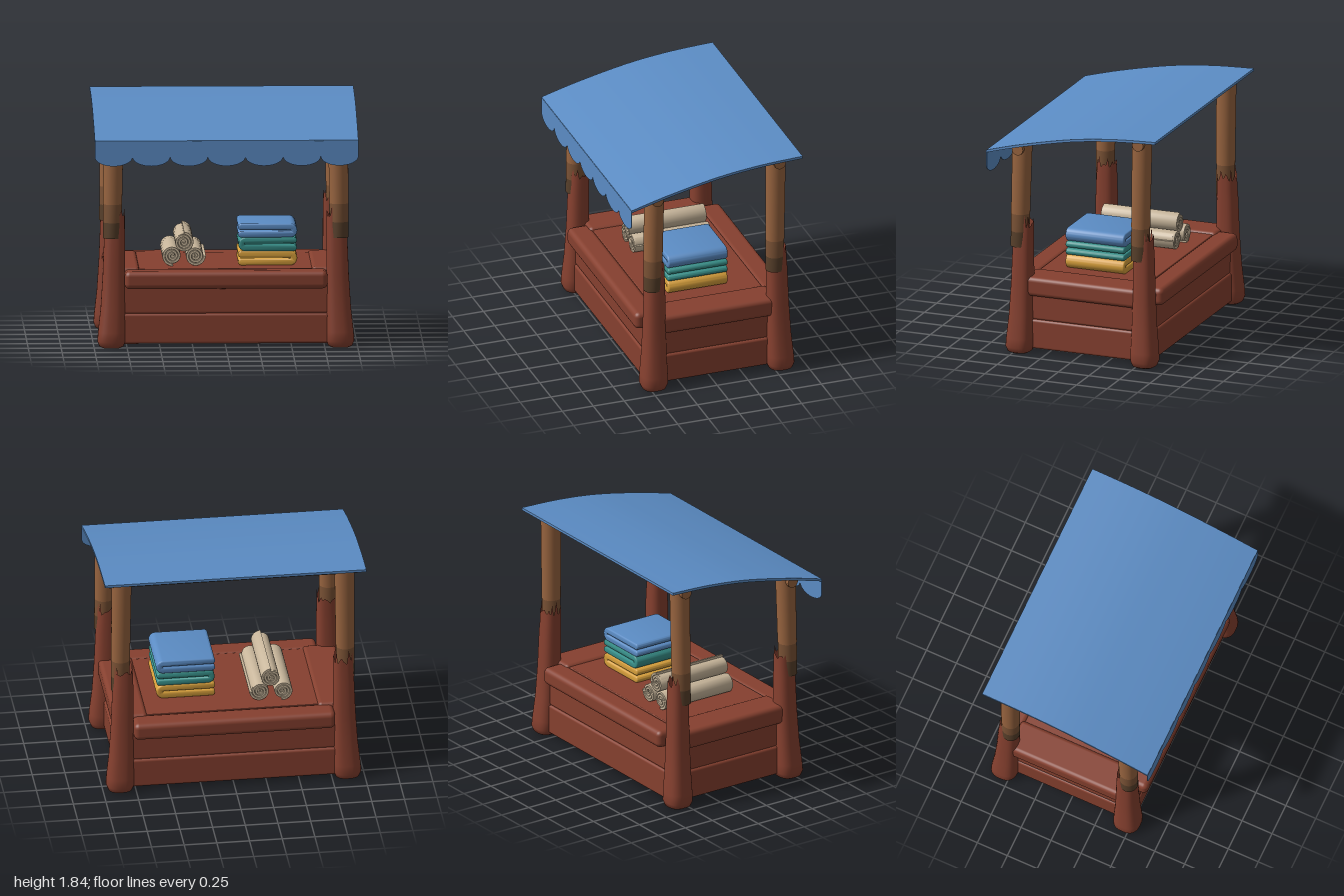
import * as THREE from 'three';
import { toCreasedNormals } from 'three/addons/utils/BufferGeometryUtils.js';
import { RoundedBoxGeometry } from 'three/addons/geometries/RoundedBoxGeometry.js';

const material = (name, color, side = THREE.FrontSide) => {
  const m = new THREE.MeshStandardMaterial({ color, side });
  m.name = name;
  return m;
};

const hash = (n) => {
  const s = Math.sin(n * 12.9898) * 43758.5453;
  return s - Math.floor(s);
};

// Skin over rounded-square rings; each row is [y, centreX, halfX, centreZ, halfZ].
// jag(j) raises the last ring point by point.
function loft(rows, power, jag = null, sides = 32) {
  const pos = [], idx = [], m = sides + 1;
  rows.forEach(([y, cx, hx, cz, hz], i) => {
    for (let j = 0; j <= sides; j++) {
      const a = (j / sides) * Math.PI * 2, c = Math.cos(a), s = Math.sin(a);
      const px = Math.sign(c) * Math.abs(c) ** (2 / power);
      const pz = Math.sign(s) * Math.abs(s) ** (2 / power);
      const lift = jag && i === rows.length - 1 ? jag(j % sides) : 0;
      pos.push(cx + hx * px, y + lift, cz + hz * pz);
      if (i < rows.length - 1 && j < sides) {
        const p = i * m + j, u = p + m;
        idx.push(p, u, p + 1, p + 1, u, u + 1);
      }
    }
  });
  const g = new THREE.BufferGeometry();
  g.setAttribute('position', new THREE.Float32BufferAttribute(pos, 3));
  g.setIndex(idx);
  return toCreasedNormals(g, 0.8);
}

export function createModel() {
  const model = new THREE.Group();
  model.name = 'marketStall';
  const red = material('redPaint', 0x86402f, THREE.DoubleSide);
  const wood = material('wood', 0x98643f);
  const midWood = material('shadedWood', 0x7a5235);
  const darkWood = material('darkWood', 0x573f2a);
  const blue = material('blueCloth', 0x5b8cc4, THREE.DoubleSide);
  const teal = material('tealCloth', 0x38908a);
  const yellow = material('yellowCloth', 0xd9a13c);
  const beige = material('beigeCloth', 0xc8b69b);

  const add = (name, geometry, mat, parent = model) => {
    const mesh = new THREE.Mesh(geometry, mat);
    mesh.name = name;
    parent.add(mesh);
    return mesh;
  };
  const box = (name, mat, x0, x1, y0, y1, z0, z1, r) => {
    const g = new RoundedBoxGeometry(x1 - x0, y1 - y0, z1 - z0, 3, r);
    g.translate((x0 + x1) / 2, (y0 + y1) / 2, (z0 + z1) / 2);
    return add(name, g, mat);
  };

  // Counter body: two planks around, lip, and inset top
  box('lowerPlanks', red, -0.87, 0.87, 0.03, 0.262, -0.6, 0.51, 0.02);
  box('upperPlanks', red, -0.86, 0.86, 0.258, 0.5, -0.59, 0.5, 0.02);
  box('frontLip', red, -0.77, 0.77, 0.455, 0.592, 0.39, 0.575, 0.04);
  box('backLip', red, -0.77, 0.77, 0.455, 0.592, -0.66, -0.48, 0.04);
  for (const s of [-1, 1]) {
    box('sideLip', red, s > 0 ? 0.65 : -0.91, s > 0 ? 0.91 : -0.65, 0.455, 0.606, -0.52, 0.43, 0.035);
  }
  box('counterTop', red, -0.66, 0.66, 0.48, 0.59, -0.49, 0.4, 0.006);

  // Corner posts: flared, splintered painted foot with a log rising out of it
  const footRows = [
    [0, 0, 0], [0, 0.024, 0.07], [0.012, 0.024, 0.092], [0.05, 0.024, 0.107], [0.12, 0.021, 0.105],
    [0.3, 0.012, 0.094], [0.55, 0.005, 0.085], [0.84, 0, 0.079], [0.93, -0.003, 0.075], [0.96, -0.004, 0.074],
  ];
  let seed = 1;
  for (const sx of [-1, 1]) {
    for (const front of [true, false]) {
      const sz = front ? 1 : -1;
      const cz = front ? 0.45 : -0.537;
      const top = front ? 1.645 : 1.8;
      const post = new THREE.Group();
      post.name = front ? 'frontPost' : 'backPost';
      model.add(post);
      const k = seed++ * 50;
      const rows = footRows.map(([y, o, h]) => [y, sx * (0.844 + o), h, cz + sz * o * 0.7, h * 0.98]);
      add('paintedFoot', loft(rows, 2.6, (j) => (j % 2 ? 0.02 : 0.04) + 0.1 * hash(k + j) ** 2), red, post);
      const logZ = front ? [0.472, 0.455] : [-0.513, -0.525];
      const logRow = (y) => {
        const t = (y - 0.84) / (top - 0.84), r = 0.07 + 0.006 * t;
        return [y, sx * (0.862 - 0.01 * t), r, logZ[0] + (logZ[1] - logZ[0]) * t, r];
      };
      const cap = (y) => { const r = logRow(y); r[2] = r[4] = 0; return r; };
      add('logBase', loft([cap(0.84), logRow(0.84), logRow(0.96)], 2), darkWood, post);
      add('logMiddle', loft([logRow(0.96), logRow(1.1)], 2), midWood, post);
      add('logTop', loft([logRow(1.1), logRow(top - 0.008), logRow(top), cap(top)], 2.1), wood, post);
    }
  }

  // Cross beams under the canopy
  for (const [y, z] of [[1.625, 0.457], [1.773, -0.527]]) {
    const g = new THREE.CylinderGeometry(0.045, 0.045, 1.9, 20);
    g.rotateZ(Math.PI / 2).translate(0, y, z);
    add('crossBeam', g, wood);
  }

  // Canopy sheet: bowed side profile swept across the width
  const bow = new THREE.SplineCurve([
    [-0.69, 1.612], [-0.4, 1.69], [0, 1.775], [0.35, 1.818], [0.69, 1.835],
  ].map(([u, y]) => new THREE.Vector2(u, y))).getPoints(24);
  const sheet = new THREE.Shape([...bow, ...bow.map((p) => new THREE.Vector2(p.x, p.y - 0.02)).reverse()]);
  const canopy = new THREE.ExtrudeGeometry(sheet, { depth: 2, bevelEnabled: false });
  canopy.rotateY(Math.PI / 2).translate(-1, 0, 0);
  add('canopy', toCreasedNormals(canopy, 0.6), blue);

  // Scalloped valance
  const valance = new THREE.Shape();
  const w = 1 / 7;
  valance.moveTo(1, 1.608);
  valance.lineTo(-1, 1.608);
  valance.lineTo(-1, 1.49);
  for (let i = 0; i < 7; i++) {
    valance.absellipse(-1 + w * (2 * i + 1), 1.49, w, 0.072, Math.PI, Math.PI * 2, false, 0);
  }
  const valanceGeo = new THREE.ExtrudeGeometry(valance, { depth: 0.006, bevelEnabled: false, curveSegments: 14 });
  valanceGeo.translate(0, 0, 0.686);
  add('valance', valanceGeo, blue);

  // Folded towels: two layers joined by a rounded fold on one side
  const towel = (name, mat, y, h, flip, inset) => {
    const b = 0.012, W = 0.225 - b - inset, H = h / 2 - b, gap = 0.004 + b;
    const r = (H - gap) / 2, mid = (H + gap) / 2;
    const s = new THREE.Shape();
    s.moveTo(W - H, -H);
    s.absarc(W - H, 0, H, -Math.PI / 2, Math.PI / 2, false);
    s.lineTo(-W + r, H);
    s.absarc(-W + r, mid, r, Math.PI / 2, Math.PI * 1.5, false);
    s.lineTo(W - H, gap);
    s.absarc(W - H, 0, gap, Math.PI / 2, -Math.PI / 2, true);
    s.lineTo(-W + r, -gap);
    s.absarc(-W + r, -mid, r, Math.PI / 2, Math.PI * 1.5, false);
    s.closePath();
    const g = new THREE.ExtrudeGeometry(s, {
      depth: 0.48 - 2 * b, bevelThickness: b, bevelSize: b, bevelSegments: 3, curveSegments: 10,
    });
    g.translate(0, 0, -0.24 + b);
    if (flip) g.rotateY(Math.PI);
    g.translate(0.325, y + h / 2, -0.012);
    add(name, toCreasedNormals(g, 0.9), mat);
  };
  towel('yellowTowel', yellow, 0.588, 0.112, false, 0);
  towel('tealTowel', teal, 0.698, 0.106, true, 0.003);
  towel('blueTowel', blue, 0.802, 0.106, false, 0);

  // Rolled towels: spiral band around a recessed core
  const spiral = (inner) => Array.from({ length: 73 }, (_, i) => {
    const t = i / 72, a = t * Math.PI * 5.4, r = 0.02 + 0.058 * t - (inner ? 0.016 : 0);
    return new THREE.Vector2(Math.cos(a) * r, Math.sin(a) * r);
  });
  const band = new THREE.Shape([...spiral(false), ...spiral(true).reverse()]);
  const rolls = [[-0.4, 0.666, 0.235, 0.4], [-0.225, 0.666, 0.245, 1.9], [-0.313, 0.772, 0.255, 3.4]];
  for (const [x, y, z, turn] of rolls) {
    const roll = new THREE.Group();
    roll.name = 'rolledTowel';
    roll.position.set(x, y, z - 0.31);
    roll.rotation.z = turn;
    model.add(roll);
    const g = new THREE.ExtrudeGeometry(band, {
      depth: 0.604, bevelThickness: 0.008, bevelSize: 0.002, bevelSegments: 2,
    });
    g.translate(0, 0, -0.302);
    add('rollSpiral', toCreasedNormals(g, 0.8), beige, roll);
    add('rollCore', new THREE.CylinderGeometry(0.062, 0.062, 0.59, 24).rotateX(Math.PI / 2), beige, roll);
  }
  return model;
}
